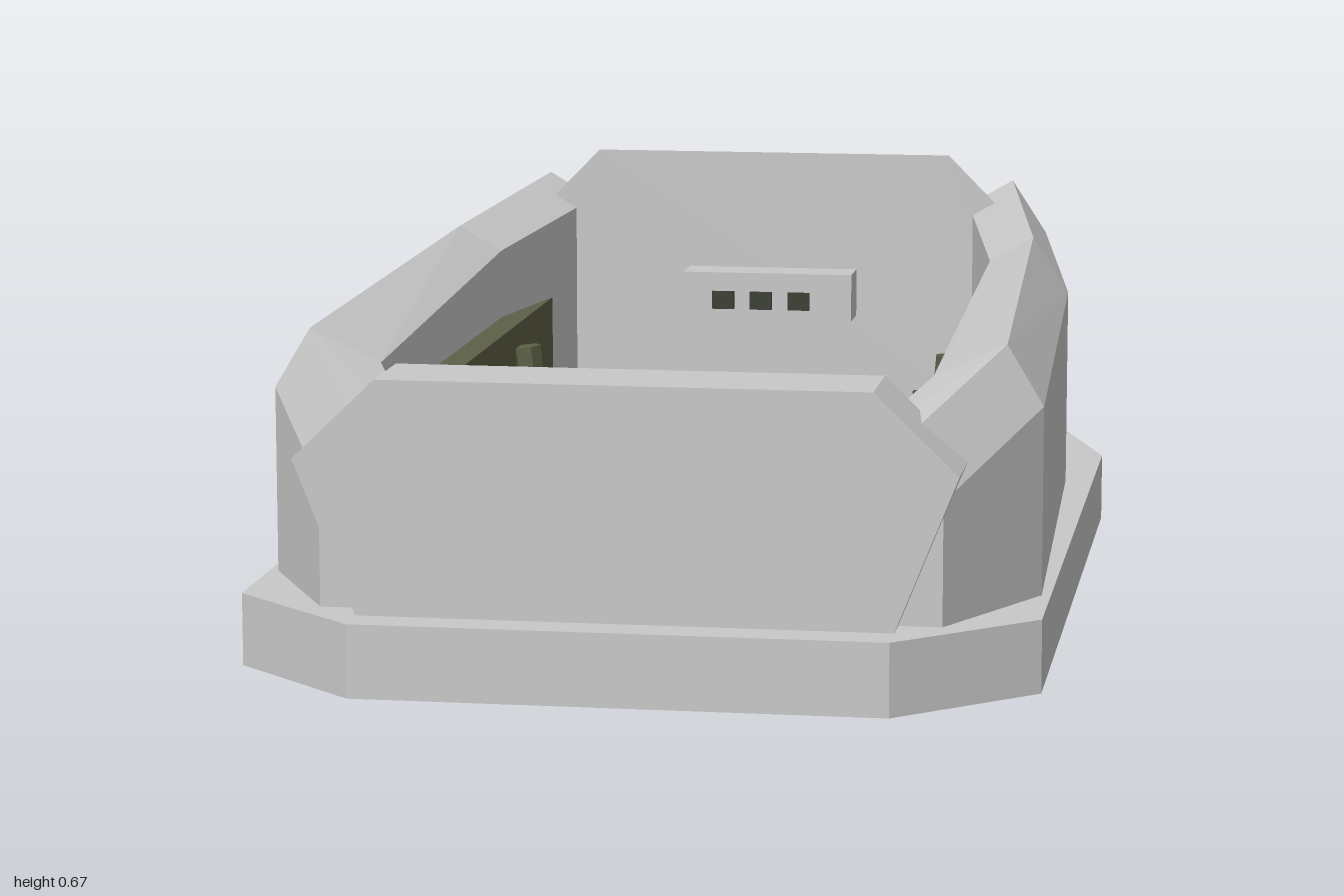
import * as THREE from 'three';

const grey = new THREE.MeshStandardMaterial({ color: 0xc8c8c8 });
grey.name = 'light grey';
const dark = new THREE.MeshStandardMaterial({ color: 0x363a2d });
dark.name = 'dark olive';
const olive = new THREE.MeshStandardMaterial({ color: 0x5d6047 });
olive.name = 'olive';

// Closed, hard-edged solid through a list of convex rings of [x, y, z] points
function loft(rings) {
  const tris = [];
  const n = rings[0].length;
  for (let r = 0; r < rings.length - 1; r++) {
    for (let i = 0; i < n; i++) {
      const j = (i + 1) % n;
      const a = rings[r][i], b = rings[r][j], c = rings[r + 1][j], d = rings[r + 1][i];
      tris.push([a, b, c], [a, c, d]);
    }
  }
  const first = rings[0], last = rings[rings.length - 1];
  for (let i = 1; i < n - 1; i++) {
    tris.push([first[0], first[i + 1], first[i]], [last[0], last[i], last[i + 1]]);
  }
  // Turn the faces outward if the rings ran the other way
  const v = (p) => new THREE.Vector3(...p);
  let volume = 0;
  for (const [a, b, c] of tris) volume += v(a).dot(v(b).cross(v(c)));
  if (volume < 0) tris.forEach((t) => t.reverse());
  const geometry = new THREE.BufferGeometry();
  geometry.setAttribute('position', new THREE.Float32BufferAttribute(tris.flat(2), 3));
  geometry.computeVertexNormals();
  return geometry;
}

// Mirror half an outline of [x, other] pairs into a full loop
const mirrored = (half) => [...half, ...half.slice().reverse().map(([x, o]) => [-x, o])];
const atY = (half, y) => mirrored(half).map(([x, z]) => [x, y, z]);
const atZ = (half, z) => mirrored(half).map(([x, y]) => [x, y, z]);

export function createModel() {
  const model = new THREE.Group();
  model.name = 'openHull';
  const add = (name, geometry, material, x = 0, y = 0, z = 0) => {
    const mesh = new THREE.Mesh(geometry, material);
    mesh.name = name;
    mesh.position.set(x, y, z);
    model.add(mesh);
    return mesh;
  };

  // Base slab and inner floor
  const base = [[0.53, -1], [0.65, -0.64], [0.65, 0.8], [0.43, 1]];
  add('base', loft([atY(base, 0), atY(base, 0.12)]), grey);
  const floor = [[0.375, -0.78], [0.456, -0.38], [0.456, 0.62], [0.387, 0.75]];
  add('floor', loft([atY(floor, 0.11), atY(floor, 0.145)]), dark);

  // End plates
  const front = [[0.43, 0.12], [0.53, 0.37], [0.395, 0.5]];
  add('frontPlate', loft([atZ(front, 0.775), atZ(front, 0.935)]), grey);
  const backInner = [[0.49, 0.12], [0.49, 0.52], [0.34, 0.672]];
  const backOuter = [[0.46, 0.12], [0.46, 0.49], [0.31, 0.64]];
  add('backPlate', loft([atZ(backInner, -0.775), atZ(backOuter, -0.94)]), grey);

  // Side wall stations: z, outer x, outer y, peak x, peak y, inner x, inner y
  const stations = [
    [-0.87, 0.52, 0.515, 0.455, 0.615, 0.37, 0.565],
    [-0.38, 0.6, 0.47, 0.535, 0.57, 0.456, 0.525],
    [0.62, 0.635, 0.43, 0.575, 0.53, 0.456, 0.475],
    [0.88, 0.5, 0.32, 0.44, 0.42, 0.318, 0.37],
  ];

  for (const [side, s] of [['left', 1], ['right', -1]]) {
    add(side + 'Wall', loft(stations.map(([z, ox, oy, px, py, ix, iy]) => [
      [s * ox, 0.12, z], [s * ox, oy, z], [s * px, py, z], [s * ix, iy, z], [s * ix, 0.12, z],
    ])), grey);
    add(side + 'LiningPanel', new THREE.BoxGeometry(0.06, 0.28, 1.21), olive, s * 0.44, 0.26, -0.055);
  }

  // Floor ribs with a leaning post at each end
  for (const z of [-0.3, 0.1, 0.49]) {
    const rib = new THREE.CylinderGeometry(0.027, 0.027, 0.76, 6).toNonIndexed();
    rib.rotateZ(Math.PI / 2);
    rib.rotateX(Math.PI / 6 * 3);
    rib.computeVertexNormals();
    // A ridge runs along the top
    rib.rotateX(ridgeTurn(rib));
    add('floorRib', rib, olive, 0, 0.145, z);
    for (const s of [1, -1]) {
      const post = new THREE.CylinderGeometry(0.028, 0.018, 0.23, 6).toNonIndexed();
      post.rotateY(Math.PI / 2);
      post.computeVertexNormals();
      add('wallPost', post, olive, s * 0.38, 0.245, z).rotation.z = -s * 0.13;
    }
  }

  // Control box with three buttons
  add('controlBox', new THREE.BoxGeometry(0.325, 0.09, 0.09), grey, 0, 0.403, -0.738);
  for (const x of [-0.085, -0.012, 0.061]) {
    add('button', new THREE.BoxGeometry(0.042, 0.034, 0.008), dark, x, 0.395, -0.69);
  }
  return model;
}

// Angle about x that brings a corner of the hexagonal rib to the top
function ridgeTurn(geometry) {
  const p = geometry.attributes.position;
  return Math.atan2(p.getY(0), p.getZ(0)) - Math.PI / 2;
}
